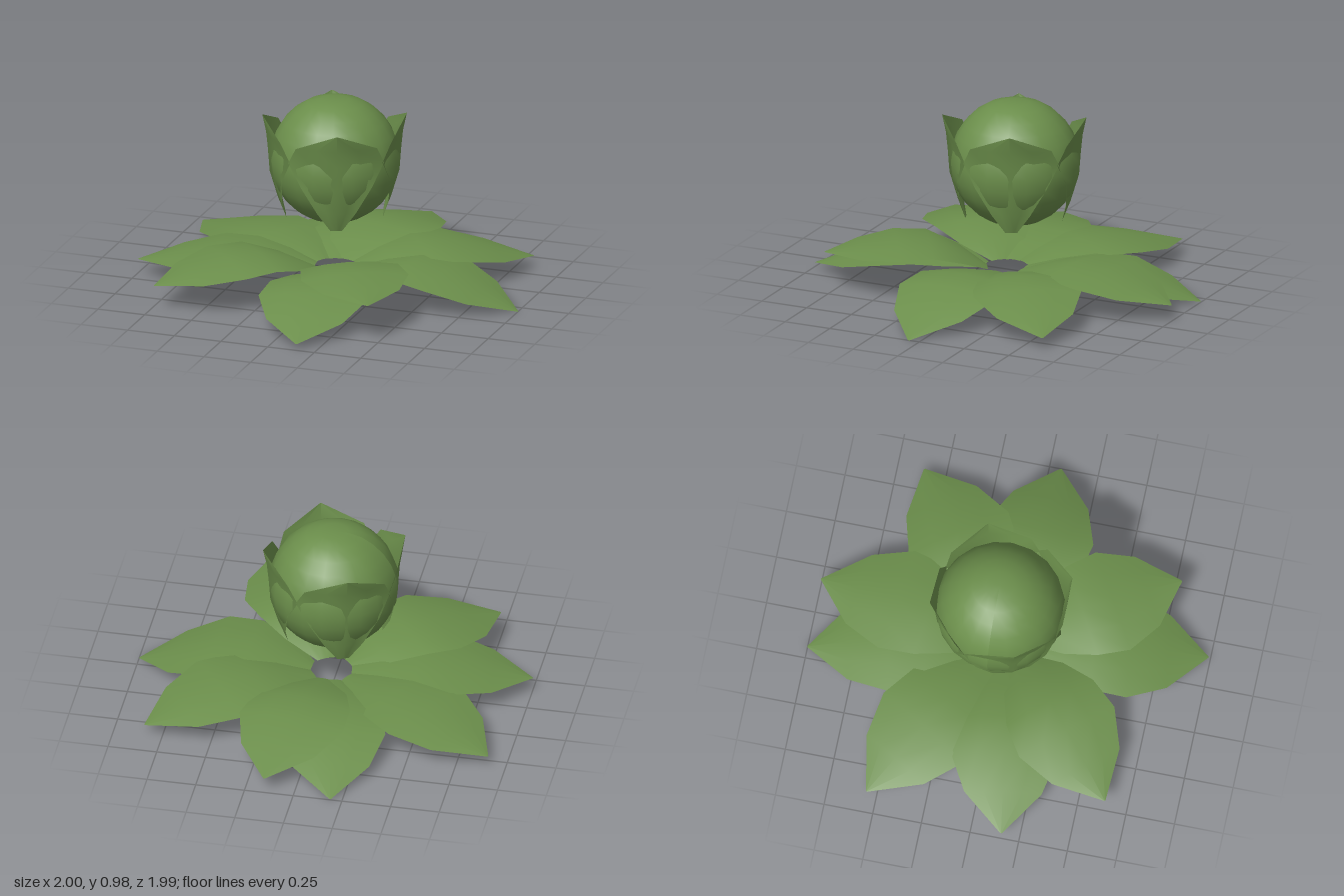
import * as THREE from 'three';

const leafGreen = new THREE.MeshStandardMaterial({ color: 0x6b8e4b, side: THREE.DoubleSide });
leafGreen.name = 'leafGreen';

const COLS = [-1, -0.5, 0, 0.5, 1];

// Smooth sheet: place(row, u) gives the point at u (-1..1) across a row
function sheet(name, rows, place) {
  const pos = [], index = [], n = COLS.length;
  rows.forEach((row, i) => {
    for (const u of COLS) pos.push(...place(row, u));
    if (i === 0) return;
    for (let j = 0; j < n - 1; j++) {
      const a = (i - 1) * n + j, b = a + 1, c = a + n, d = c + 1;
      index.push(a, b, c, b, d, c);
    }
  });
  const g = new THREE.BufferGeometry();
  g.setAttribute('position', new THREE.Float32BufferAttribute(pos, 3));
  g.setIndex(index);
  g.computeVertexNormals();
  const mesh = new THREE.Mesh(g, leafGreen);
  mesh.name = name;
  return mesh;
}

// Spread leaf: [distance share, half width, rise share (0 base, 1 peak), fall share (0 peak, 1 tip)]
const OUTER_ROWS = [
  [0.1, 0.045, 0, 0], [0.25, 0.17, 0.55, 0], [0.42, 0.25, 0.95, 0],
  [0.6, 0.275, 1, 0.12], [0.8, 0.195, 1, 0.52], [1, 0.004, 1, 1],
];
function outerLeaf([tx, ty, tz, peak]) {
  const len = Math.hypot(tx, tz), dx = tx / len, dz = tz / len, base = 0.11;
  return sheet('outerLeaf', OUTER_ROWS, ([t, w, rise, fall], u) => {
    const y = base + (peak - base) * rise + (ty - peak) * fall;
    const r = t * len, side = w * u;
    return [dx * r + dz * side, y - 0.1 * w * u * u, dz * r - dx * side];
  });
}

// Cupped leaf hugging the head: [height, radius, half width, dip beside the midrib]
const CUP_ROWS = [
  [0.36, 0.245, 0.03, 0], [0.46, 0.285, 0.1, 0.01], [0.6, 0.327, 0.19, 0.03],
  [0.72, 0.336, 0.27, 0.025], [0.81, 0.345, 0.22, 0.01], [0.9, 0.364, 0.004, 0],
];
function cupLeaf(angle) {
  return sheet('cupLeaf', CUP_ROWS, ([y, r, w, dip], u) => {
    const a = angle + (w * u) / r;
    const rr = r - dip * 4 * Math.abs(u) * (1 - Math.abs(u));
    return [Math.sin(a) * rr, y, Math.cos(a) * rr];
  });
}

export function createModel() {
  const model = new THREE.Group();
  model.name = 'cabbage';

  // Round head, slightly flattened at both poles
  const ball = new THREE.SphereGeometry(0.328, 20, 14);
  const p = ball.attributes.position;
  for (let i = 0; i < p.count; i++) p.setY(i, THREE.MathUtils.clamp(p.getY(i), -0.313, 0.313));
  ball.computeVertexNormals();
  const head = new THREE.Mesh(ball, leafGreen);
  head.name = 'head';
  head.position.set(-0.02, 0.662, -0.045);
  model.add(head);

  // Four cupped leaves around the head
  const cup = new THREE.Group();
  cup.name = 'cupLeaves';
  cup.position.set(-0.02, 0, -0.04);
  for (let i = 0; i < 4; i++) cup.add(cupLeaf(THREE.MathUtils.degToRad(22 + i * 90)));
  model.add(cup);

  // Ring of spread leaves: tip x, y, z and peak height
  const outer = new THREE.Group();
  outer.name = 'outerLeaves';
  const tips = [
    [1, 0, 0.06, 0.19], [0.15, 0.03, 0.99, 0.18], [-1, 0.075, 0.16, 0.19], [-0.19, 0.005, -1, 0.17],
    [0.46, 0.205, 0.79, 0.265], [-0.74, 0.12, 0.64, 0.235], [-0.91, 0.06, -0.55, 0.18],
    [0.15, 0.085, -1, 0.21], [0.84, 0.06, -0.61, 0.2],
  ];
  for (const tip of tips) outer.add(outerLeaf(tip));
  model.add(outer);
  return model;
}
